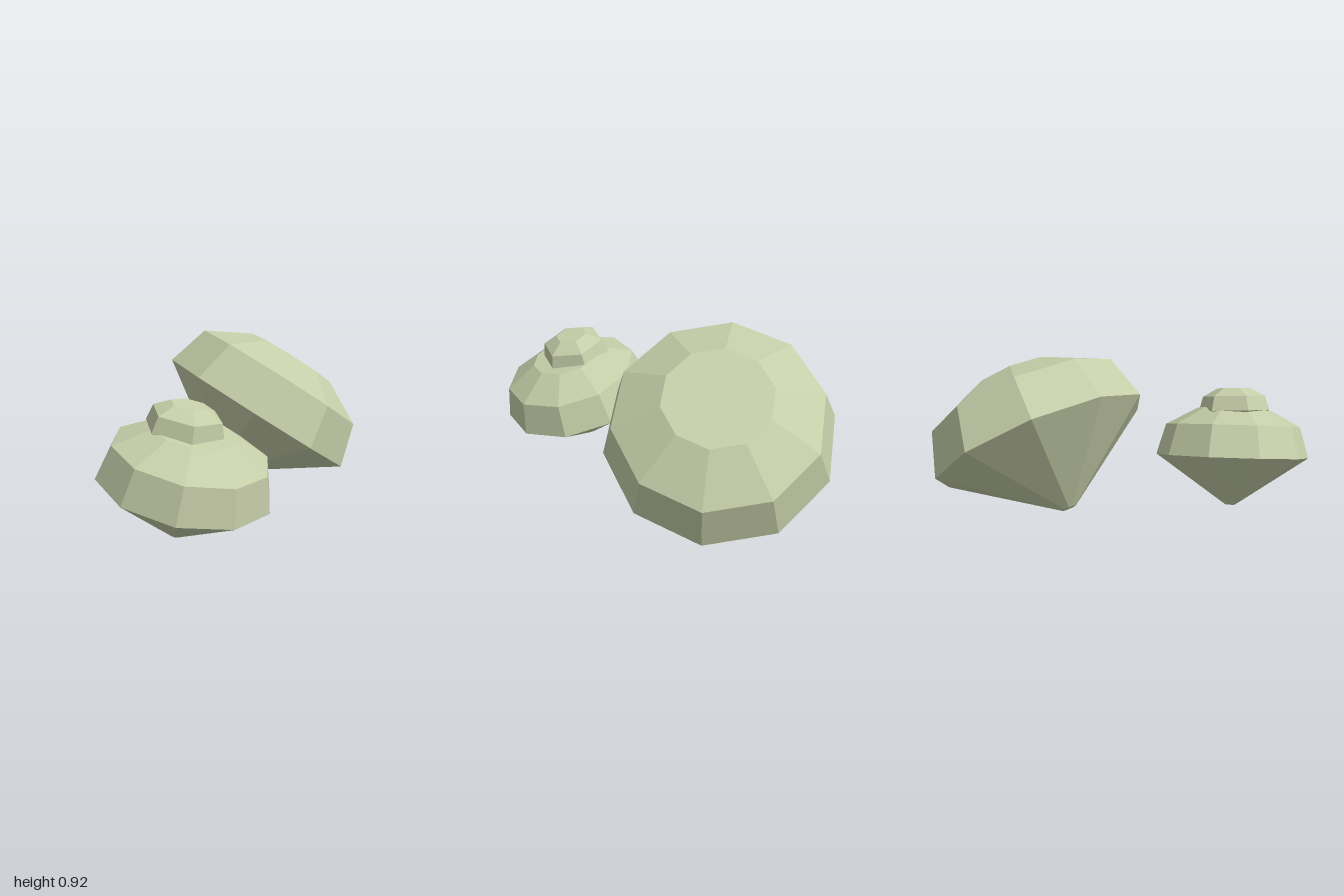
import * as THREE from 'three';

// Faceted gem profile for a girdle radius of 1: [radius, height], tip to flat crown
const PROFILE = [[0, -0.645], [0.065, -0.645], [1, 0], [0.882, 0.403], [0.46, 0.632], [0, 0.632]];

const sage = new THREE.MeshStandardMaterial({ color: 0xc5cda8 });
sage.name = 'pale sage';

// A gem whose axis points along `axis`, with one girdle corner towards `corner`
function gem(name, radius, sides, center, axis, corner) {
  const points = PROFILE.map(([r, y]) => new THREE.Vector2(r * radius, y * radius));
  const geometry = new THREE.LatheGeometry(points, sides).toNonIndexed();
  geometry.computeVertexNormals(); // flat facets

  const y = new THREE.Vector3(...axis).normalize();
  const z = new THREE.Vector3(...corner);
  z.addScaledVector(y, -z.dot(y)).normalize();
  const x = new THREE.Vector3().crossVectors(y, z);

  const mesh = new THREE.Mesh(geometry, sage);
  mesh.name = name;
  mesh.quaternion.setFromRotationMatrix(new THREE.Matrix4().makeBasis(x, y, z));
  mesh.position.set(...center);
  return mesh;
}

export function createModel() {
  const group = new THREE.Group();
  group.name = 'gemStones';
  group.add(
    gem('largeGem', 0.61, 10, [0.41, 0.418, -0.166], [0.481, 0.835, 0.266], [-0.535, 0.282, 0.082]),
    gem('smallGem', 0.436, 10, [-0.57, 0.28, 0.323], [0.037, 0.97, 0.245], [-0.43, 0, 0.07]),
    // Six-sided gem sitting on the small one's crown
    gem('topGem', 0.2, 6, [-0.573, 0.55, 0.327], [0.07, 0.97, 0.2], [-1, 0, 0])
  );
  return group;
}
